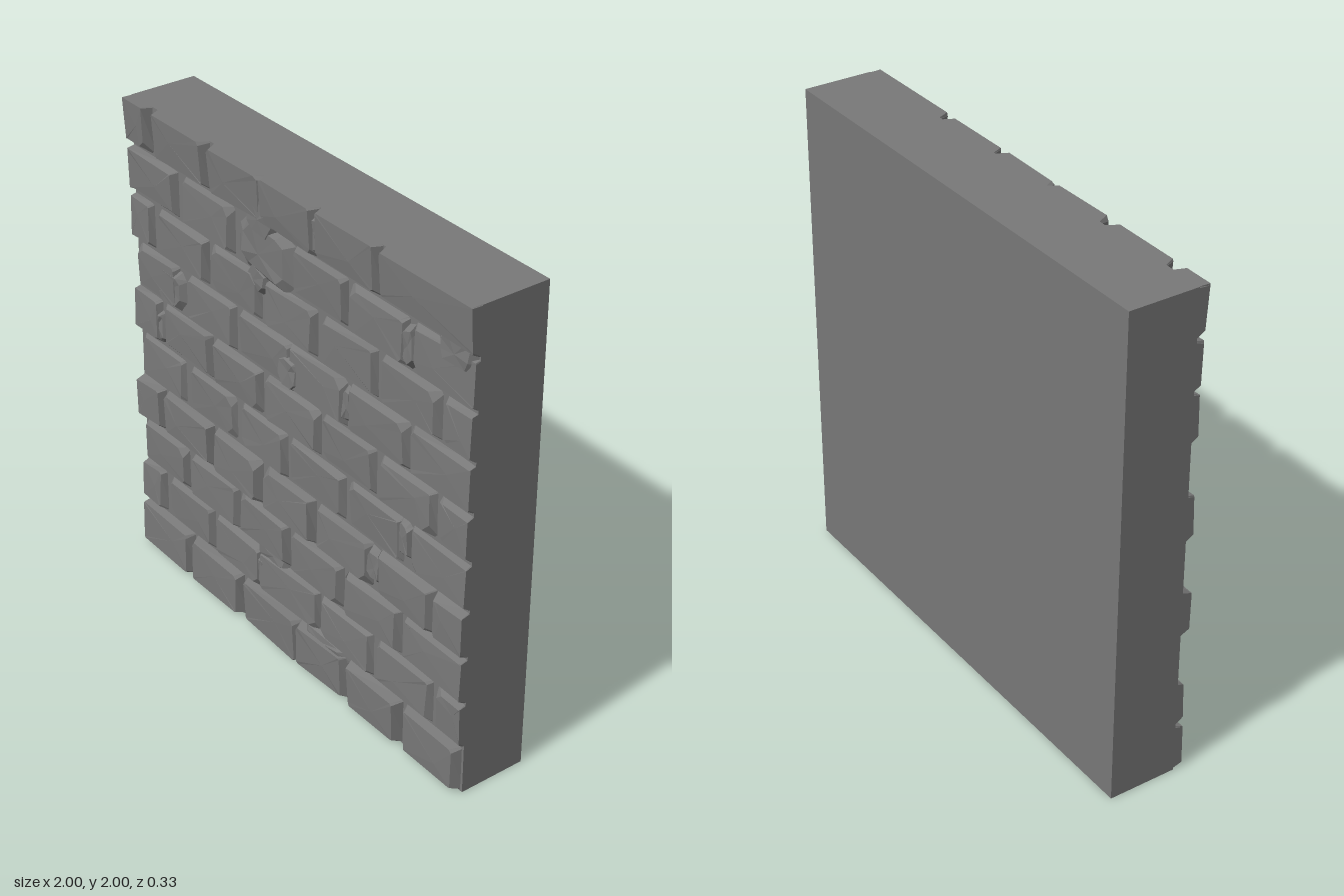
import * as THREE from 'three';

const BACK = -0.165, MORTAR = 0.115, ROW = 0.2;

// x spans of the bricks in each course, from the bottom up
const COURSES = [
  [[-1, -0.68], [-0.65, -0.34], [-0.3, 0.04], [0.05, 0.33], [0.36, 0.65], [0.69, 0.98]],
  [[-1, -0.87], [-0.81, -0.53], [-0.49, -0.2], [-0.19, 0.16], [0.19, 0.48], [0.53, 0.82], [0.86, 1]],
  [[-0.97, -0.7], [-0.64, -0.35], [-0.32, -0.03], [0.02, 0.3], [0.34, 0.64], [0.68, 1]],
  [[-1, -0.85], [-0.82, -0.52], [-0.48, -0.2], [-0.15, 0.13], [0.17, 0.47], [0.53, 0.82], [0.84, 1]],
  [[-0.97, -0.7], [-0.64, -0.36], [-0.31, -0.04], [0, 0.31], [0.35, 0.64], [0.7, 1]],
  [[-1, -0.85], [-0.81, -0.51], [-0.47, -0.19], [-0.14, 0.16], [0.2, 0.48], [0.53, 0.81], [0.85, 1]],
  [[-0.97, -0.72], [-0.63, -0.35], [-0.3, 0], [0, 0.31], [0.35, 0.66], [0.69, 1]],
  [[-1, -0.88], [-0.82, -0.52], [-0.48, -0.19], [-0.14, 0.14], [0.2, 0.48], [0.53, 0.82], [0.86, 1]],
  [[-1, -0.71], [-0.65, -0.35], [0.03, 0.31], [0.35, 0.64], [0.69, 1]],
  [[-1, -0.87], [-0.82, -0.5], [-0.46, -0.15], [-0.15, 0.15], [0.17, 0.49], [0.52, 1]],
];
// highest face level of each course
const LEVELS = [0.158, 0.148, 0.15, 0.155, 0.143, 0.147, 0.148, 0.148, 0.147, 0.158];

// worn, smeared areas where joints are filled: x, y, width, height, level
const SMEARS = [
  [-0.15, 1.71, 0.36, 0.26, 0.142], [-0.16, 1.84, 0.22, 0.2, 0.146], [-0.2, 1.58, 0.14, 0.14, 0.136],
  [0, 1.28, 0.14, 0.16, 0.145], [-0.76, 1.29, 0.2, 0.18, 0.138], [0.9, 1.8, 0.24, 0.16, 0.142],
  [-0.19, 0.3, 0.1, 0.16, 0.14], [-0.12, 0.41, 0.22, 0.1, 0.137], [0.2, 0.19, 0.3, 0.1, 0.14],
  [0.66, 0.92, 0.1, 0.18, 0.135], [0.66, 1.7, 0.08, 0.18, 0.137], [0.5, 0.72, 0.08, 0.16, 0.137],
  [-0.86, 1.08, 0.1, 0.18, 0.134], [0.33, 1.3, 0.08, 0.16, 0.134], [0.16, 1.9, 0.1, 0.16, 0.14],
];

let seed = 7;
const rand = () => (seed = (seed * 16807) % 2147483647) / 2147483647;
const vary = (a) => (rand() * 2 - 1) * a;
const clampX = (v) => Math.max(-1, Math.min(1, v));
const clampY = (v) => Math.max(0, Math.min(2, v));

// Eight-point outline of a box with its corners chipped off
function outline(x0, x1, y0, y1, chips) {
  const [a, b, c, d] = chips;
  return [
    [x0 + a, y0], [x1 - b, y0], [x1, y0 + b], [x1, y1 - c],
    [x1 - c, y1], [x0 + d, y1], [x0, y1 - d], [x0, y0 + a],
  ];
}

// Faceted stone: a sloping skirt rising to a slightly tilted, fanned face
function stoneGeometry(face, base, centre, frontZ) {
  const pos = [];
  const put = (...pts) => pts.forEach((p) => pos.push(...p));
  const f = face.map(([x, y]) => [clampX(x), clampY(y), frontZ(x, y)]);
  const b = base.map(([x, y]) => [clampX(x), clampY(y), MORTAR - 0.01]);
  for (let i = 0; i < 8; i++) {
    const j = (i + 1) % 8;
    put(centre, f[i], f[j]);
    put(b[i], b[j], f[j]);
    put(b[i], f[j], f[i]);
  }
  const geo = new THREE.BufferGeometry();
  geo.setAttribute('position', new THREE.Float32BufferAttribute(pos, 3));
  geo.computeVertexNormals();
  return geo;
}

function brick(x0, x1, row) {
  const left = x0 <= -1, right = x1 >= 1;
  const y0 = row === 0 ? 0.012 : row * ROW + 0.03;
  const y1 = row === 9 ? 2 : row * ROW + 0.187;
  const chips = [0, 1, 2, 3].map(() => (rand() < 0.15 ? 0.03 : 0.004 + rand() * 0.008));
  if (left) chips[0] = chips[3] = 0.002;
  if (right) chips[1] = chips[2] = 0.002;
  const face = outline(x0 + (left ? 0 : 0.008), x1 - (right ? 0 : 0.008), y0, y1, chips)
    .map(([x, y]) => [Math.abs(x) >= 1 ? x : x + vary(0.005), y >= 2 ? y : y + vary(0.006)]);
  const base = outline(
    left ? -1 : x0 - 0.014, right ? 1 : x1 + 0.014,
    Math.max(0, row * ROW + 0.002), Math.min(2, y1 + 0.014), [0.004, 0.004, 0.004, 0.004],
  );
  // tilt of the brick face
  const cx = (x0 + x1) / 2, cy = (y0 + y1) / 2;
  const tx = vary(0.025), ty = row === 9 ? 0.06 : vary(0.04);
  const level = LEVELS[row] - rand() * 0.006 - 0.003;
  const z = (x, y) => Math.min(0.163, level + tx * (x - cx) + ty * (y - cy) + vary(0.0015));
  const centre = [cx + vary(0.06), cy + vary(0.03), level + 0.002];
  return stoneGeometry(face, base, centre, z);
}

function smear(x, y, w, h, level) {
  const chips = [0, 1, 2, 3].map(() => Math.min(w, h) * (0.15 + rand() * 0.2));
  const wide = outline(x - w / 2, x + w / 2, y - h / 2, y + h / 2, chips)
    .map(([px, py]) => [px + vary(0.015), py + vary(0.015)]);
  const face = wide.map(([px, py]) => [x + (px - x) * 0.65, y + (py - y) * 0.65]);
  const centre = [x + vary(w * 0.1), y + vary(h * 0.1), level + vary(0.003)];
  return stoneGeometry(face, wide, centre, () => level + vary(0.006));
}

export function createModel() {
  const wall = new THREE.Group();
  wall.name = 'brickWall';
  const stone = new THREE.MeshStandardMaterial({ color: 0x787878 });
  stone.name = 'grey stone';
  const add = (parent, geo, name) => {
    const mesh = new THREE.Mesh(geo, stone);
    mesh.name = name;
    parent.add(mesh);
    return mesh;
  };

  // Solid slab behind the bricks, its front being the mortar
  const slab = add(wall, new THREE.BoxGeometry(2, 2, MORTAR - BACK), 'slab');
  slab.position.set(0, 1, (MORTAR + BACK) / 2);

  // Courses of bricks
  COURSES.forEach((spans, row) => {
    const course = new THREE.Group();
    course.name = `course${row + 1}`;
    spans.forEach(([x0, x1]) => add(course, brick(x0, x1, row), 'brick'));
    wall.add(course);
  });

  // Worn patches bridging the joints
  const worn = new THREE.Group();
  worn.name = 'wornPatches';
  SMEARS.forEach((s) => add(worn, smear(...s), 'wornPatch'));
  wall.add(worn);

  return wall;
}
